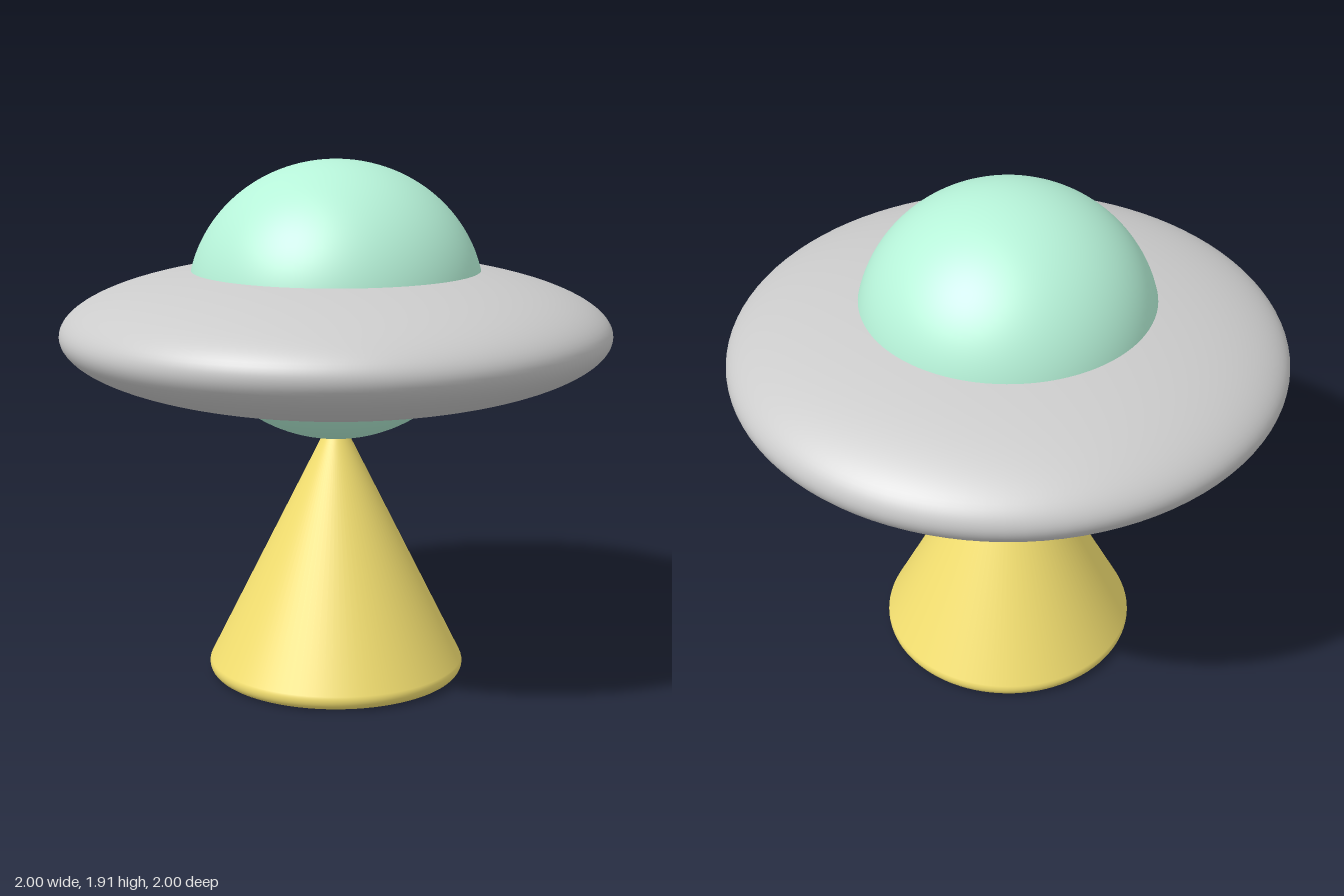
import * as THREE from 'three';

export function createModel() {
  const group = new THREE.Group();
  const add = (name, geometry, color) => {
    const mesh = new THREE.Mesh(geometry, new THREE.MeshStandardMaterial({ color }));
    mesh.name = name;
    group.add(mesh);
    return mesh;
  };
  const ellipsoid = (name, radius, halfHeight, y, color) => {
    const geometry = new THREE.SphereGeometry(1, 96, 64).scale(radius, halfHeight, radius);
    add(name, geometry, color).position.y = y;
  };

  // Flattened hull, with the cabin showing above and below it
  ellipsoid('saucerHull', 1, 0.265, 1.29, 0xcccccc);
  ellipsoid('cabinDome', 0.537, 0.506, 1.405, 0xb6f2d8);

  // Light beam: a cone with a rounded bottom rim, its tip inside the cabin
  const rim = 0.038, centre = 0.437, slope = Math.atan(0.5);
  const profile = [];
  for (let i = 0; i <= 12; i++) {
    const a = -Math.PI / 2 + (Math.PI / 2 + slope) * i / 12;
    profile.push(new THREE.Vector2(centre + rim * Math.cos(a), rim + rim * Math.sin(a)));
  }
  profile.push(new THREE.Vector2(0.05, 0.9), new THREE.Vector2(0.004, 0.99));
  add('lightBeam', new THREE.LatheGeometry(profile, 96), 0xf3df70);

  // Flat underside of the beam
  add('beamBase', new THREE.CircleGeometry(centre, 96).rotateX(Math.PI / 2), 0xf3df70);

  return group;
}
